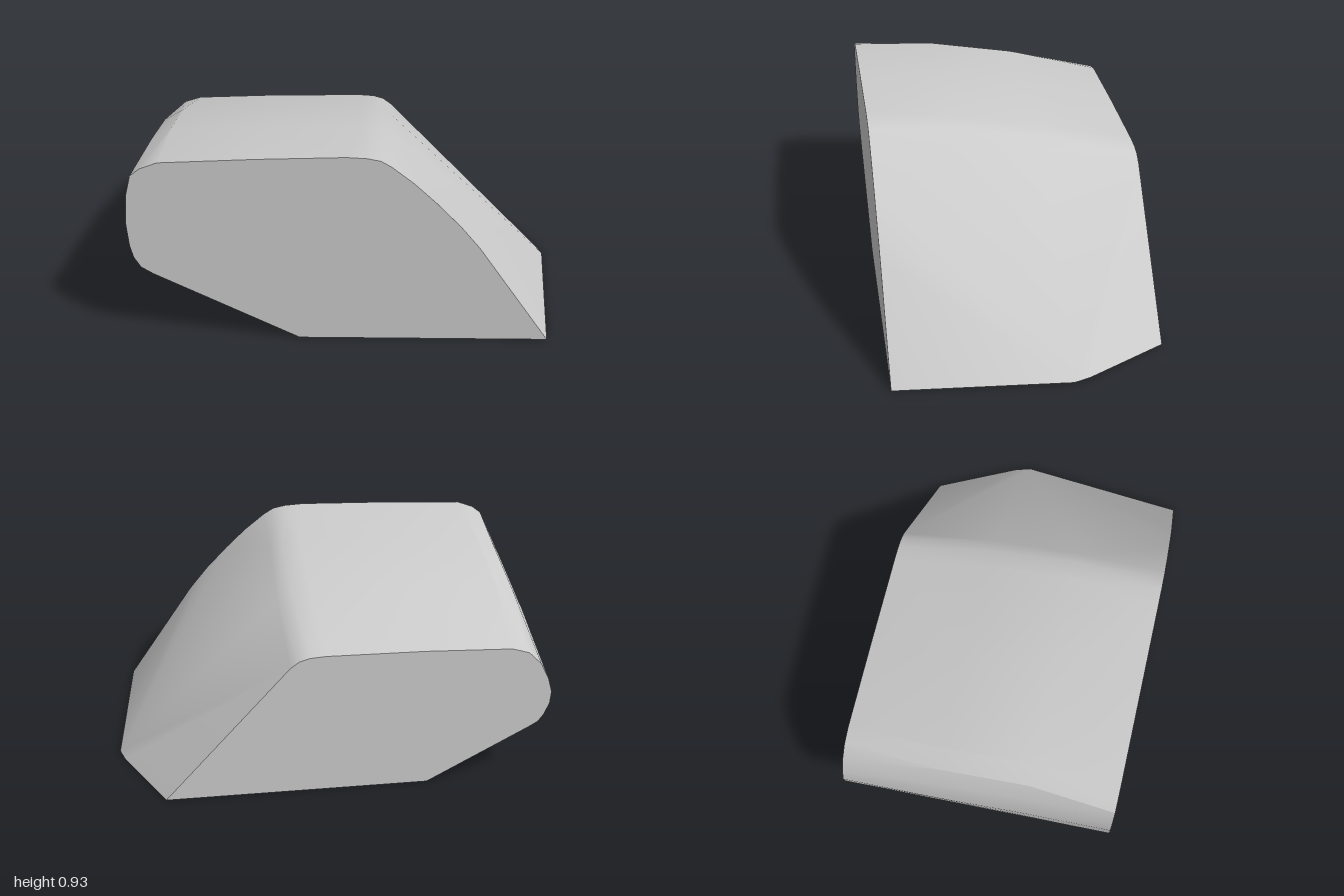
import * as THREE from 'three';
import { ConvexGeometry } from 'three/addons/geometries/ConvexGeometry.js';
import { toCreasedNormals } from 'three/addons/utils/BufferGeometryUtils.js';

// Cross-sections [x, y] of the leaning block at each depth z
const sections = [
  // front face
  { z: 0.64, points: [
    [-0.22, 0], [0.93, 0], [0.6, 0.48], [0.51, 0.59], [0.4, 0.705], [0.3, 0.8], [0.2, 0.88], [0.15, 0.91], [0.09, 0.922],
    [0, 0.927], [-0.4, 0.915], [-0.83, 0.895], [-0.91, 0.865], [-0.955, 0.83], [-0.98, 0.73],
    [-0.99, 0.6], [-0.98, 0.48], [-0.965, 0.42], [-0.935, 0.37], [-0.88, 0.335],
  ] },
  // upper bulge, falling towards the back
  { z: 0.24, points: [
    [0.21, 0.85], [0.15, 0.885], [0.06, 0.9], [-0.4, 0.892], [-0.83, 0.872], [-0.92, 0.825], [-0.965, 0.74], [-0.997, 0.58],
  ] },
  // pointed toe
  { z: -0.18, points: [
    [1, 0], [0.22, 0.765], [0.15, 0.805], [0.06, 0.82], [-0.4, 0.815], [-0.83, 0.795], [-0.92, 0.745], [-0.97, 0.65],
    [-1, 0.5],
  ] },
  { z: -0.26, points: [[0.975, 0]] },
  // back face
  { z: -0.64, points: [
    [-0.43, 0], [0.79, 0], [0.21, 0.645], [0.17, 0.675], [0.12, 0.69], [0.05, 0.695], [-0.4, 0.69], [-0.8, 0.675],
    [-0.88, 0.65], [-0.94, 0.59], [-0.98, 0.51], [-1, 0.44], [-0.995, 0.38], [-0.97, 0.32], [-0.945, 0.285], [-0.9, 0.258],
  ] },
];

export function createModel() {
  const points = sections.flatMap(({ z, points }) => points.map(([x, y]) => new THREE.Vector3(x, y, z)));

  // Smooth rounded shoulders, sharp rims around the flat faces
  const geometry = toCreasedNormals(new ConvexGeometry(points), 0.4);
  const block = new THREE.Mesh(geometry, new THREE.MeshStandardMaterial({ color: 0xcccccc }));
  block.name = 'slantedBlock';

  const model = new THREE.Group();
  model.name = 'roundedWedge';
  model.add(block);
  return model;
}
